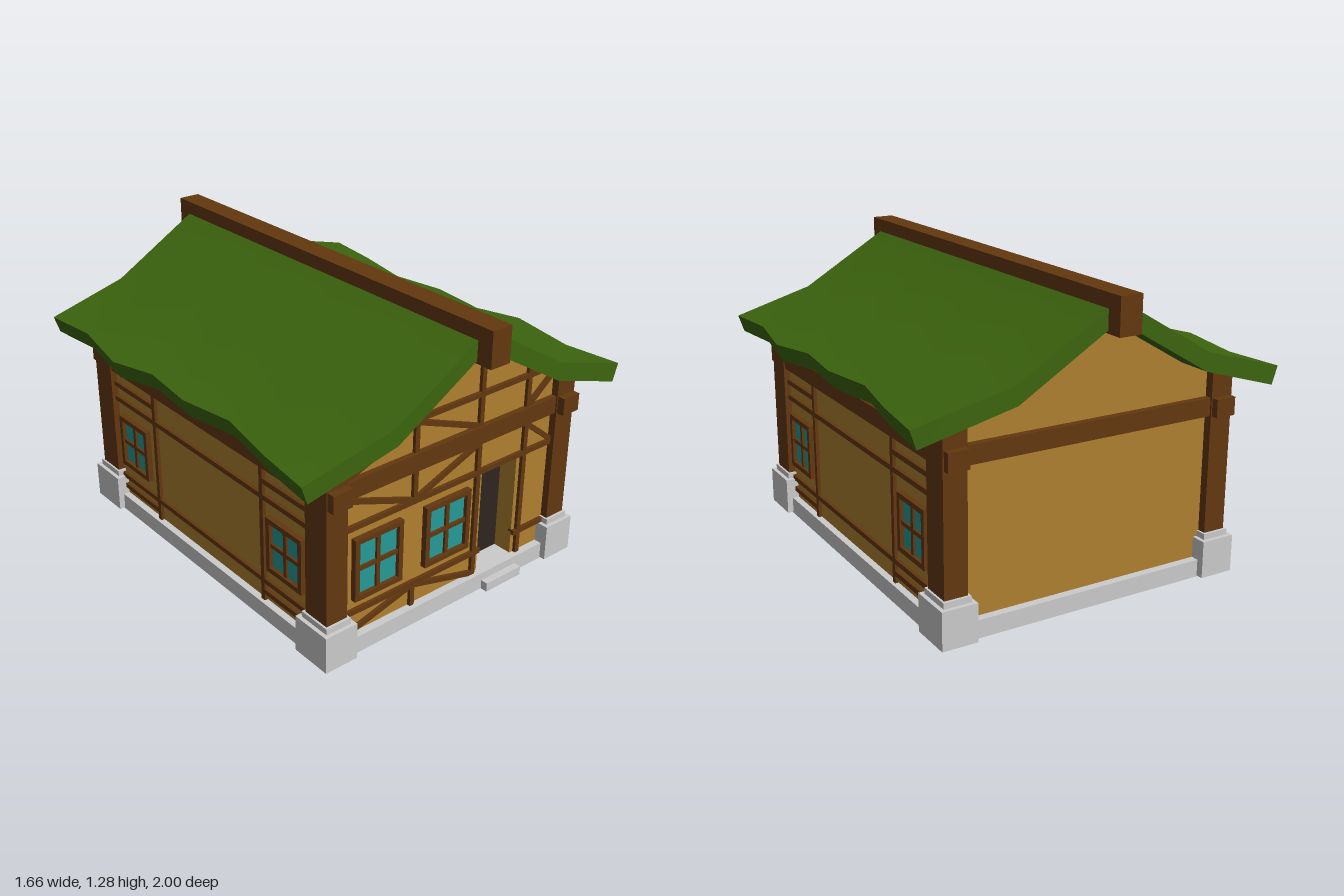
import * as THREE from 'three';
import { toCreasedNormals } from 'three/addons/utils/BufferGeometryUtils.js';

const mat = (color) => new THREE.MeshStandardMaterial({ color });
const M = {
  stone: mat(0xcccccc), wall: mat(0xb08030), wood: mat(0x63380f),
  roof: mat(0x3c650e), glass: mat(0x269a96), door: mat(0x30251f),
};
const CX = 0.005; // centre line of the walls

function add(parent, name, geometry, material) {
  const mesh = new THREE.Mesh(geometry, material);
  mesh.name = name;
  parent.add(mesh);
  return mesh;
}

// Box given by its limits on each axis
function box(parent, name, material, [x0, x1], [y0, y1], [z0, z1]) {
  const m = add(parent, name, new THREE.BoxGeometry(x1 - x0, y1 - y0, z1 - z0), material);
  m.position.set((x0 + x1) / 2, (y0 + y1) / 2, (z0 + z1) / 2);
  return m;
}

// Straight strip of timber lying on a wall plane, between two points
function timber(parent, u0, v0, u1, v1, width = 0.022) {
  const m = add(parent, 'timber', new THREE.BoxGeometry(Math.hypot(u1 - u0, v1 - v0), width, 0.03), M.wood);
  m.position.set((u0 + u1) / 2, (v0 + v1) / 2, 0);
  m.rotation.z = Math.atan2(v1 - v0, u1 - u0);
}

// Framed window with four panes on a wall plane
function windowUnit(parent, u, v, w, h) {
  const g = new THREE.Group();
  g.name = 'window';
  g.position.set(u, v, 0);
  parent.add(g);
  const t = 0.022, a = w / 2, b = h / 2;
  box(g, 'glass', M.glass, [-a + t, a - t], [-b + t, b - t], [-0.01, 0.008]);
  for (const s of [-1, 1]) {
    box(g, 'windowFrame', M.wood, [s * (a - t / 2) - t / 2, s * (a - t / 2) + t / 2], [-b, b], [-0.01, 0.025]);
    box(g, 'windowFrame', M.wood, [-a + t, a - t], [s * (b - t / 2) - t / 2, s * (b - t / 2) + t / 2], [-0.01, 0.025]);
  }
  box(g, 'mullion', M.wood, [-0.009, 0.009], [-b + t, b - t], [-0.01, 0.018]);
  box(g, 'mullion', M.wood, [-a + t, a - t], [-0.009, 0.009], [-0.01, 0.018]);
}

// Gabled wall slab, optionally notched for the doorway
function gableSlab(parent, name, z0, z1, doorway) {
  const pts = [[-0.62, 0.06]];
  if (doorway) pts.push([0.175, 0.06], [0.175, 0.545], [0.375, 0.545], [0.375, 0.06]);
  pts.push([0.63, 0.06], [0.63, 0.89], [0.43, 0.945], [CX, 1.2], [-0.42, 0.945], [-0.62, 0.89]);
  const shape = new THREE.Shape(pts.map(([x, y]) => new THREE.Vector2(x, y)));
  const geo = new THREE.ExtrudeGeometry(shape, { depth: z1 - z0, bevelEnabled: false });
  add(parent, name, geo, M.wall).position.z = z0;
}

// Half of the roof (-x side): a bent slab lofted along z with a wavy eave
function roofHalfGeometry() {
  const eave = [[-0.935, -0.775], [-0.68, -0.75], [-0.36, -0.81], [-0.16, -0.75],
    [0.11, -0.78], [0.36, -0.74], [0.64, -0.795], [0.905, -0.83]];
  const pos = [], idx = [], last = eave.length - 1;
  eave.forEach(([z, x], i) => {
    const zs = i === 0 ? -0.93 : i === last ? 0.93 : z;
    pos.push(0, 1.255, zs, -0.43, 1.0, zs, x, 0.9, z,
      x + 0.025, 0.825, z, -0.42, 0.925, zs, 0, 1.175, zs);
  });
  for (let i = 0; i < last; i++) {
    for (let j = 0; j < 5; j++) {
      const a = i * 6 + j, b = a + 1, c = b + 6, d = a + 6;
      idx.push(a, b, c, a, c, d);
    }
  }
  const f = last * 6;
  for (const [a, b, c, d] of [[0, 1, 4, 5], [1, 2, 3, 4]]) {
    idx.push(f + a, f + b, f + c, f + a, f + c, f + d, a, c, b, a, d, c);
  }
  const geo = new THREE.BufferGeometry();
  geo.setAttribute('position', new THREE.Float32BufferAttribute(pos, 3));
  geo.setIndex(idx);
  return toCreasedNormals(geo, 0.6);
}

export function createModel() {
  const house = new THREE.Group();
  house.name = 'house';

  // Foundation and doorstep
  box(house, 'foundation', M.stone, [-0.65, 0.66], [0, 0.075], [-0.815, 0.82]);
  box(house, 'doorstep', M.stone, [0.175, 0.375], [0, 0.04], [0.8, 0.852]);

  // Walls, with the doorway cut into the front
  gableSlab(house, 'walls', -0.78, 0.69, false);
  gableSlab(house, 'frontWall', 0.69, 0.785, true);

  // Recessed door and knob
  box(house, 'door', M.door, [0.175, 0.375], [0.075, 0.545], [0.68, 0.7]);
  add(house, 'doorKnob', new THREE.SphereGeometry(0.007, 10, 8), M.stone).position.set(0.212, 0.31, 0.705);

  // Corner posts on stepped stone bases
  for (const sx of [-1, 1]) {
    const x = CX + sx * 0.605;
    for (const sz of [-1, 1]) {
      const z = sz * 0.754;
      const around = (c, r) => [c - r, c + r];
      box(house, 'postBase', M.stone, around(x, 0.076), [0.005, 0.165], around(z, 0.093));
      box(house, 'postBaseCap', M.stone, around(x, 0.059), [0.165, 0.19], around(z, 0.075));
      box(house, 'cornerPost', M.wood, around(x, 0.05), [0.19, 0.885], around(z, 0.063));
    }
    // Long side beam with ends showing past the posts
    box(house, 'sideBeam', M.wood, [x - 0.045, x + 0.045], [0.692, 0.768], [-0.847, 0.85]);
  }
  box(house, 'frontBeam', M.wood, [-0.6, 0.61], [0.692, 0.768], [0.72, 0.81]);
  box(house, 'backBeam', M.wood, [-0.6, 0.61], [0.692, 0.768], [-0.81, -0.72]);

  // Front timber framing and windows
  const front = new THREE.Group();
  front.name = 'frontFraming';
  front.position.z = 0.785;
  house.add(front);
  const frontTimbers = [
    [-0.46, 0.905, 0.47, 0.905], [-0.57, 0.556, 0.58, 0.556],
    [-0.57, 0.178, 0.175, 0.178], [0.375, 0.178, 0.58, 0.178],
    [0.14, 0.07, 0.14, 1.11], [0.405, 0.07, 0.405, 0.95],
    [-0.2, 0.07, -0.2, 0.18], [-0.2, 0.55, -0.2, 0.7], [-0.2, 0.76, -0.2, 1.08],
    [-0.56, 0.765, -0.2, 0.895], [-0.2, 0.895, 0.14, 0.765], [0.405, 0.765, 0.57, 0.895],
    [-0.56, 0.69, -0.2, 0.56], [-0.2, 0.56, 0.14, 0.69], [0.405, 0.69, 0.57, 0.56],
    [-0.56, 0.08, -0.2, 0.17], [-0.2, 0.17, 0.14, 0.08],
  ];
  frontTimbers.forEach((t) => timber(front, ...t));
  windowUnit(front, -0.385, 0.368, 0.24, 0.275);
  windowUnit(front, -0.025, 0.368, 0.24, 0.275);

  // Side timber framing and windows, mirrored left and right
  for (const s of [-1, 1]) {
    const side = new THREE.Group();
    side.name = s > 0 ? 'leftFraming' : 'rightFraming';
    side.position.x = CX + s * 0.625;
    side.rotation.y = s * Math.PI / 2;
    house.add(side);
    const strip = (z0, y0, z1, y1) => timber(side, -s * z0, y0, -s * z1, y1);
    for (const y of [0.17, 0.556]) strip(-0.7, y, 0.7, y);
    for (const z of [-0.372, 0.397]) {
      strip(z, 0.07, z, 0.87);
      const end = Math.sign(z) * 0.7;
      for (const y of [0.118, 0.628, 0.81]) strip(z, y, end, y);
    }
    for (const z of [-0.543, 0.548]) windowUnit(side, -s * z, 0.363, 0.222, 0.245);
  }

  // Roof halves (half-turn copies) and ridge beam
  const half = roofHalfGeometry();
  add(house, 'roofRight', half, M.roof);
  add(house, 'roofLeft', half, M.roof).rotation.y = Math.PI;
  box(house, 'ridgeBeam', M.wood, [-0.048, 0.048], [1.135, 1.285], [-1, 1]);

  return house;
}
